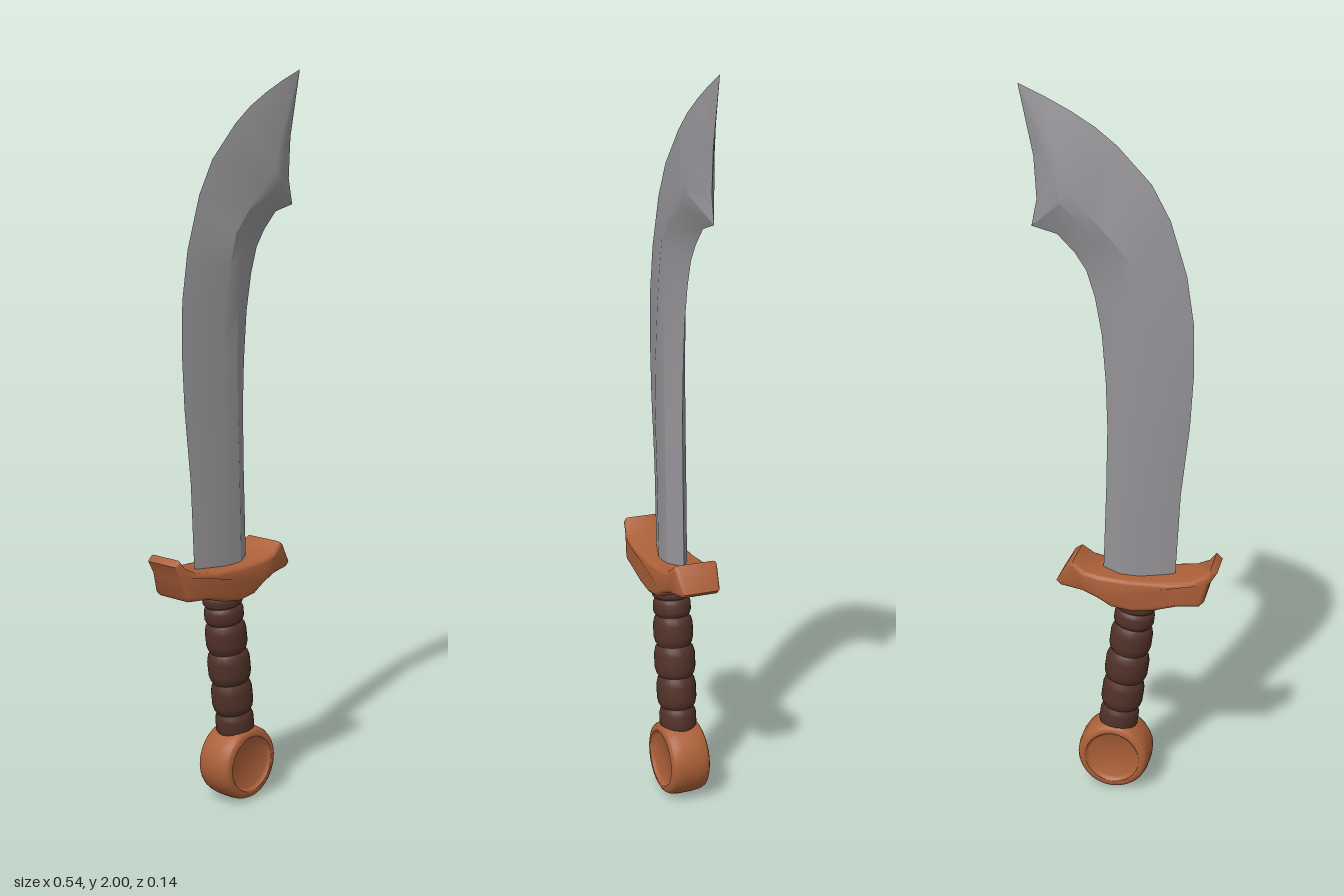
import * as THREE from 'three';
import { toCreasedNormals } from 'three/addons/utils/BufferGeometryUtils.js';

const material = (name, color) => {
  const m = new THREE.MeshStandardMaterial({ color });
  m.name = name;
  return m;
};

function add(group, name, geometry, mat) {
  const mesh = new THREE.Mesh(geometry, mat);
  mesh.name = name;
  group.add(mesh);
  return mesh;
}

// Blade: six-sided sections (back edge, two ridges per side, cutting edge) joined up to the tip.
function bladeGeometry() {
  // back edge x,y | ridge A x,y,z | ridge B x,y,z | cutting edge x,y
  const stations = [
    [-0.146, 0.64, -0.055, 0.64, 0.03, 0.005, 0.64, 0.03, 0.056, 0.64],
    [-0.16, 0.92, -0.068, 0.92, 0.03, -0.003, 0.92, 0.03, 0.046, 0.92],
    [-0.182, 1.12, -0.078, 1.11, 0.031, -0.01, 1.1, 0.03, 0.042, 1.1],
    [-0.19, 1.26, -0.072, 1.25, 0.031, -0.012, 1.24, 0.03, 0.046, 1.23],
    [-0.188, 1.4, -0.058, 1.39, 0.031, -0.008, 1.37, 0.029, 0.056, 1.36],
    [-0.168, 1.53, -0.04, 1.49, 0.032, 0.004, 1.47, 0.026, 0.074, 1.46],
    [-0.124, 1.67, -0.02, 1.57, 0.033, 0.02, 1.55, 0.022, 0.096, 1.53],
    [-0.075, 1.76, 0.03, 1.63, 0.034, 0.055, 1.61, 0.026, 0.126, 1.575],
    [0.013, 1.853, 0.09, 1.69, 0.037, 0.115, 1.67, 0.034, 0.172, 1.622],
    [0.07, 1.898, 0.13, 1.74, 0.037, 0.155, 1.71, 0.037, 0.24, 1.64],
    [0.135, 1.937, 0.165, 1.82, 0.026, 0.18, 1.79, 0.026, 0.225, 1.71],
    [0.2, 1.97, 0.212, 1.9, 0.013, 0.217, 1.88, 0.013, 0.231, 1.82],
    [0.268, 2, 0.268, 2, 0, 0.268, 2, 0, 0.268, 2]
  ];
  const position = [];
  const index = [];
  stations.forEach(([lx, ly, ax, ay, az, bx, by, bz, rx, ry]) => position.push(
    lx, ly, 0, ax, ay, az, bx, by, bz, rx, ry, 0, bx, by, -bz, ax, ay, -az));
  const last = stations.length - 2;
  for (let i = 0; i <= last; i++) {
    for (let j = 0; j < 6; j++) {
      const a = i * 6 + j, b = i * 6 + (j + 1) % 6;
      index.push(a, b, b + 6);
      if (i < last) index.push(a, b + 6, a + 6);
    }
  }
  const g = new THREE.BufferGeometry();
  g.setAttribute('position', new THREE.Float32BufferAttribute(position, 3));
  g.setIndex(index);
  return toCreasedNormals(g, 0.4);
}

// Guard: upswept outline, extruded with rounded edges and narrowed at both ends.
function guardGeometry() {
  const outline = [
    [-0.272, 0.722], [-0.255, 0.737], [-0.235, 0.712], [-0.2, 0.694], [-0.13, 0.684],
    [-0.03, 0.682], [0.05, 0.687], [0.095, 0.697], [0.128, 0.722], [0.145, 0.712],
    [0.178, 0.655], [0.165, 0.643], [0.1, 0.638], [0.055, 0.618], [0.02, 0.597],
    [-0.04, 0.588], [-0.1, 0.597], [-0.16, 0.615], [-0.225, 0.62], [-0.237, 0.632], [-0.25, 0.685]
  ].map(([x, y]) => new THREE.Vector2(x, y)).reverse();
  const bevel = 0.012;
  const g = new THREE.ExtrudeGeometry(new THREE.Shape(outline), {
    depth: 0.14 - 2 * bevel, bevelEnabled: true, bevelSize: bevel,
    bevelThickness: bevel, bevelOffset: -bevel, bevelSegments: 3
  });
  g.translate(0, 0, -0.07 + bevel);
  const p = g.attributes.position;
  for (let i = 0; i < p.count; i++) {
    const t = THREE.MathUtils.smoothstep(Math.abs(p.getX(i) + 0.045), 0.13, 0.23);
    p.setZ(i, p.getZ(i) * (1 - 0.22 * t));
  }
  return toCreasedNormals(g, 0.8);
}

// Grip: stacked wrapped bands with pinched grooves between them.
function gripGeometry() {
  const bands = [[0, 0.07, 0.056], [0.07, 0.16, 0.06], [0.16, 0.25, 0.062],
    [0.25, 0.335, 0.06], [0.335, 0.385, 0.057], [0.385, 0.42, 0.058]];
  const profile = [new THREE.Vector2(0, 0)];
  for (const [y0, y1, r] of bands) {
    const h = y1 - y0;
    [[0, 0.83], [0.1, 0.93], [0.28, 1], [0.72, 1], [0.9, 0.93], [0.99, 0.83]].forEach(
      ([t, s]) => profile.push(new THREE.Vector2(r * s, y0 + h * t)));
  }
  profile.push(new THREE.Vector2(0, 0.42));
  const g = new THREE.LatheGeometry(profile, 20);
  g.scale(1, 1, 0.92);
  return g;
}

// Pommel: thick disc with a raised rim and a shallow dish on each face.
function pommelGeometry() {
  const half = [[0, 0.047], [0.068, 0.047], [0.074, 0.05], [0.079, 0.057],
    [0.088, 0.057], [0.097, 0.052], [0.102, 0.042], [0.105, 0.02]];
  const points = [
    ...half.map(([r, z]) => [r, -z]),
    ...half.slice().reverse()
  ].map(([r, z]) => new THREE.Vector2(r, z));
  const g = new THREE.LatheGeometry(points, 28);
  g.rotateX(Math.PI / 2);
  return toCreasedNormals(g, 0.6);
}

export function createModel() {
  const steel = material('steel', 0x959397);
  const copper = material('copper brown', 0xac6039);
  const leather = material('dark leather', 0x523229);

  const sword = new THREE.Group();
  sword.name = 'curvedSword';
  add(sword, 'blade', bladeGeometry(), steel);
  add(sword, 'guard', guardGeometry(), copper);
  const grip = add(sword, 'grip', gripGeometry(), leather);
  grip.position.set(0.015, 0.185, 0);
  grip.rotation.z = 0.135;
  add(sword, 'pommel', pommelGeometry(), copper).position.set(0.02, 0.105, 0);
  return sword;
}
